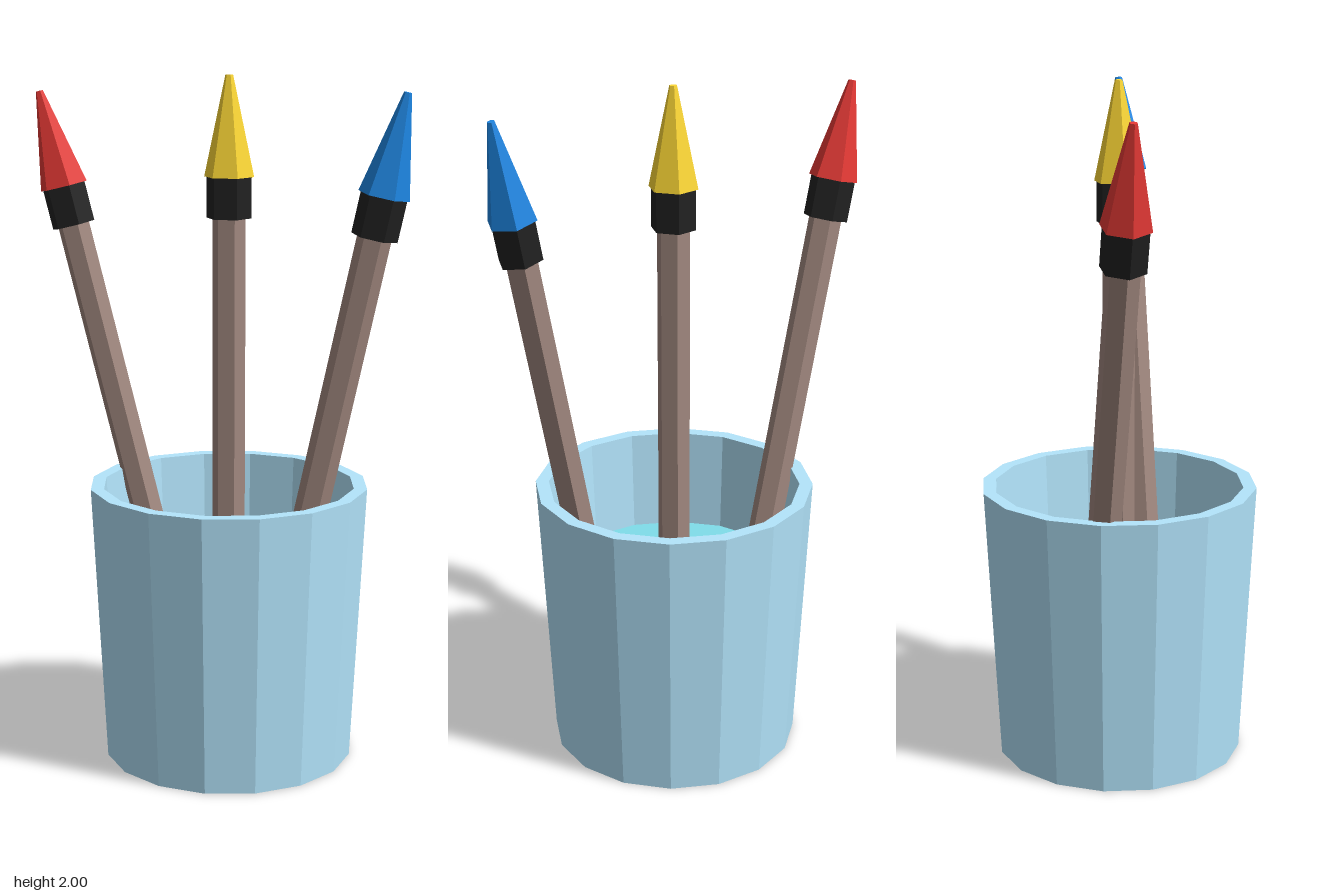
import * as THREE from 'three';

const mat = (color) => new THREE.MeshStandardMaterial({ color, flatShading: true });

function addMesh(parent, name, geometry, material) {
  const mesh = new THREE.Mesh(geometry, material);
  mesh.name = name;
  parent.add(mesh);
  return mesh;
}

// Six-sided tapered section between two heights, corners on the x axis
function hexSection(rTop, rBottom, yTop, yBottom) {
  const g = new THREE.CylinderGeometry(rTop, rBottom, yTop - yBottom, 6);
  return g.rotateY(Math.PI / 2).translate(0, (yTop + yBottom) / 2, 0);
}

export function createModel() {
  const model = new THREE.Group();
  model.name = 'paintbrushCup';
  const wood = mat(0xa1887f);
  const black = mat(0x212121);

  // Cup: closed 16-sided wall with a rim and an inner floor
  const profile = [
    [0, 0], [0.367, 0], [0.408, 0.82], [0.369, 0.82], [0.332, 0.05], [0, 0.05],
  ].map(([r, y]) => new THREE.Vector2(r, y));
  const cup = addMesh(model, 'cup', new THREE.LatheGeometry(profile, 16), mat(0xb3e5fc));
  cup.position.x = 0.033;

  // Water filling the cup
  const water = addMesh(model, 'water',
    new THREE.CylinderGeometry(0.354, 0.332, 0.46, 16), mat(0x80deea));
  water.position.set(0.033, 0.29, 0);

  // Brushes: each hangs down from its tip, tilted sideways
  const brushes = [
    { name: 'redBrush', color: 0xe53935, tip: [-0.555, 1.944, -0.124], tilt: 14 },
    { name: 'yellowBrush', color: 0xfdd835, tip: [0.033, 2, 0], tilt: 0 },
    { name: 'blueBrush', color: 0x1e88e5, tip: [0.547, 1.962, 0.142], tilt: -12 },
  ];
  for (const { name, color, tip, tilt } of brushes) {
    const brush = new THREE.Group();
    brush.name = name;
    addMesh(brush, 'bristles', hexSection(0.011, 0.072, 0, -0.285), mat(color));
    addMesh(brush, 'ferrule', hexSection(0.065, 0.065, -0.285, -0.402), black);
    addMesh(brush, 'handle', hexSection(0.048, 0.048, -0.402, -1.85), wood);
    brush.position.set(...tip);
    brush.rotation.z = THREE.MathUtils.degToRad(tilt);
    model.add(brush);
  }
  return model;
}
